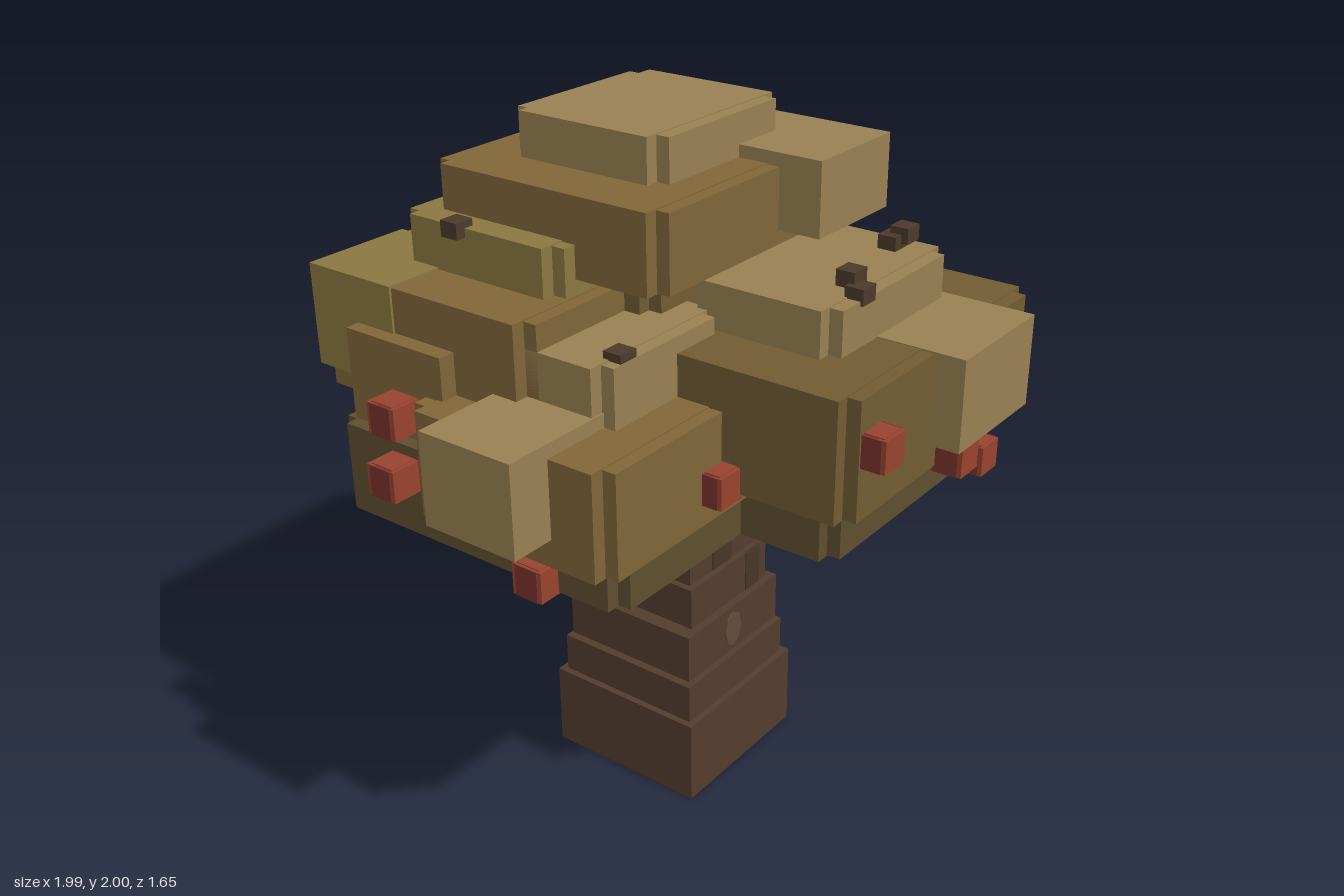
import * as THREE from 'three';

const mat = (color) => new THREE.MeshStandardMaterial({ color, flatShading: true });
const TAN = mat(0x998052), OLIVE = mat(0x8a7741), BROWN = mat(0x806638), UMBER = mat(0x715b32);
const SHADE = mat(0x5f4e2f), BARK = mat(0x533d2d), BARK_DARK = mat(0x483527), KNOT = mat(0x634a38);
const RED = mat(0x98432f), RED_DARK = mat(0x7a322a), TWIG = mat(0x4c3a2b);

export function createModel() {
  const tree = new THREE.Group();
  tree.name = 'blockTree';

  // Box given by its lower and upper limits on each axis
  const box = (parent, name, material, x0, x1, y0, y1, z0, z1) => {
    const mesh = new THREE.Mesh(new THREE.BoxGeometry(x1 - x0, y1 - y0, z1 - z0), material);
    mesh.position.set((x0 + x1) / 2, (y0 + y1) / 2, (z0 + z1) / 2);
    mesh.name = name;
    parent.add(mesh);
  };

  // Slab with notched corners: two crossing boxes
  const slab = (parent, name, material, x0, x1, y0, y1, z0, z1, notch = 0.04) => {
    const g = new THREE.Group();
    g.name = name;
    box(g, name + 'Wide', material, x0, x1, y0, y1, z0 + notch, z1 - notch);
    box(g, name + 'Deep', material, x0 + notch, x1 - notch, y0 + 0.003, y1 - 0.003, z0, z1);
    parent.add(g);
  };

  // Stepped trunk
  const trunk = new THREE.Group();
  trunk.name = 'trunk';
  tree.add(trunk);
  [
    [-0.31, 0.20, 0, 0.26, -0.33, 0.18],
    [-0.29, 0.18, 0.26, 0.38, -0.31, 0.16],
    [-0.265, 0.18, 0.38, 0.53, -0.305, 0.14],
    [-0.22, 0.155, 0.53, 0.66, -0.29, 0.115],
    [-0.20, 0.155, 0.66, 0.79, -0.285, 0.095],
    [-0.20, 0.155, 0.79, 1.0, -0.255, 0.095],
  ].forEach((b) => box(trunk, 'trunkSegment', BARK, ...b));

  // Branch stubs under the crown
  [
    [-0.29, -0.1, 0.90, 0.97, -0.12, 0.0],
    [-0.24, -0.1, 0.85, 0.95, -0.14, 0.02],
    [0.1, 0.2, 0.77, 0.85, -0.09, 0.05],
  ].forEach((b) => box(trunk, 'branchStub', BARK, ...b));

  // Bark strips and a knot
  [
    [-0.09, 0.0, 0.66, 0.95, 0.09, 0.098],
    [0.05, 0.12, 0.53, 0.66, 0.11, 0.118],
    [0.195, 0.203, 0, 0.26, -0.2, -0.13],
    [0.175, 0.183, 0.26, 0.36, -0.18, -0.1],
    [-0.1, -0.02, 0.53, 0.66, -0.293, -0.28],
  ].forEach((b) => box(trunk, 'barkStrip', BARK_DARK, ...b));
  const knot = new THREE.Mesh(new THREE.CylinderGeometry(0.04, 0.04, 0.01, 8), KNOT);
  knot.rotation.x = Math.PI / 2;
  knot.scale.z = 1.45;
  knot.position.set(-0.05, 0.455, 0.14);
  knot.name = 'trunkKnot';
  trunk.add(knot);

  // Foliage slabs, from the bottom up
  const crown = new THREE.Group();
  crown.name = 'crown';
  tree.add(crown);
  slab(crown, 'lowestFoliage', SHADE, 0.08, 0.71, 0.81, 1.1, -0.19, 0.39);
  slab(crown, 'lowerBackFoliage', SHADE, -0.78, 0.45, 0.94, 1.2, -0.67, 0.32);
  slab(crown, 'lowerFrontFoliage', SHADE, -0.27, 0.47, 0.944, 1.2, -0.3, 0.61);
  slab(crown, 'rightFoliage', UMBER, 0.12, 0.8, 0.94, 1.23, -0.29, 0.48, 0.05);
  box(crown, 'rightFoliageBlock', UMBER, 0.4, 0.835, 0.9, 1.226, 0.14, 0.43);
  slab(crown, 'leftFoliage', BROWN, -0.86, -0.1, 1.07, 1.37, -0.31, 0.35);
  slab(crown, 'backOliveFoliage', OLIVE, -0.25, 0.6, 1.11, 1.405, -0.76, 0.34);
  slab(crown, 'frontFoliage', UMBER, -0.4, 0.54, 1.15, 1.49, -0.29, 0.73);
  slab(crown, 'backBrownFoliage', BROWN, -0.73, 0.11, 1.28, 1.615, -0.755, 0.0);
  slab(crown, 'upperOliveFoliage', OLIVE, -0.1, 0.54, 1.38, 1.58, -0.6, -0.12);
  slab(crown, 'backUpperFoliage', OLIVE, -0.56, 0.0, 1.49, 1.75, -0.59, -0.05);
  slab(crown, 'frontLedge', TAN, -0.22, 0.37, 1.45, 1.62, 0.1, 0.56);
  slab(crown, 'leftLedge', TAN, -0.69, -0.2, 1.33, 1.54, -0.2, 0.21);
  slab(crown, 'crownCore', UMBER, -0.35, 0.35, 1.4, 1.68, -0.45, 0.09);
  slab(crown, 'upperFoliage', BROWN, -0.48, 0.41, 1.655, 1.875, -0.545, 0.22);
  slab(crown, 'crownCap', TAN, -0.31, 0.24, 1.82, 2.0, -0.415, 0.09);

  // Plain blocks jutting out of the slabs
  box(crown, 'rightBlock', OLIVE, 0.54, 0.92, 1.03, 1.28, 0.05, 0.39);
  box(crown, 'backRightBlock', OLIVE, 0.28, 0.62, 1.11, 1.41, -0.8, -0.29);
  box(crown, 'frontBlock', TAN, -0.01, 0.37, 1.23, 1.493, 0.45, 0.82);
  box(crown, 'leftBlock', TAN, -0.99, -0.65, 1.15, 1.41, -0.12, 0.175);
  box(crown, 'leftBackBlock', BROWN, -0.78, -0.4, 1.23, 1.49, -0.59, -0.25);
  box(crown, 'backLeftBlock', OLIVE, -0.737, -0.4, 1.33, 1.62, -0.762, -0.46);
  box(crown, 'upperFrontBlock', TAN, 0.03, 0.37, 1.7, 1.91, -0.03, 0.35);
  box(crown, 'upperRightBlock', BROWN, 0.2, 0.495, 1.62, 1.79, -0.33, -0.01);

  // Cube fruits built from three crossing boxes, so the edges are notched
  [
    [-0.305, 1.35, 0.75], [-0.435, 1.18, 0.36], [0.08, 1.18, 0.76], [0.4, 1.02, 0.665],
    [0.95, 1.22, 0.32], [0.95, 1.05, 0.1], [0.64, 1.38, -0.365], [0.62, 1.125, -0.345],
    [-0.84, 1.32, -0.37], [-0.86, 1.15, -0.37], [-0.8, 0.98, 0.07],
    [0.075, 1.265, -0.78], [0.205, 1.155, -0.78],
  ].forEach(([x, y, z]) => {
    const fruit = new THREE.Group();
    fruit.name = 'fruit';
    fruit.position.set(x, y, z);
    box(fruit, 'fruitBody', RED, -0.038, 0.038, -0.048, 0.048, -0.038, 0.038);
    box(fruit, 'fruitSides', RED_DARK, -0.048, 0.048, -0.045, 0.045, -0.036, 0.036);
    box(fruit, 'fruitFaces', RED, -0.045, 0.045, -0.045, 0.045, -0.048, 0.048);
    tree.add(fruit);
  });

  // Small twigs on top of the foliage
  [
    [-0.05, 1.66, 0.5], [-0.07, 1.63, 0.54], [0.32, 1.66, 0.44], [0.29, 1.64, 0.42],
    [-0.56, 1.75, -0.38], [-0.305, 1.74, -0.62], [0.175, 1.57, -0.6],
    [0.465, 1.57, -0.38], [0.615, 1.42, 0.0], [-0.59, 1.54, 0.18],
  ].forEach(([x, y, z]) =>
    box(tree, 'twig', TWIG, x - 0.03, x + 0.03, y - 0.025, y + 0.02, z - 0.028, z + 0.028));

  return tree;
}
